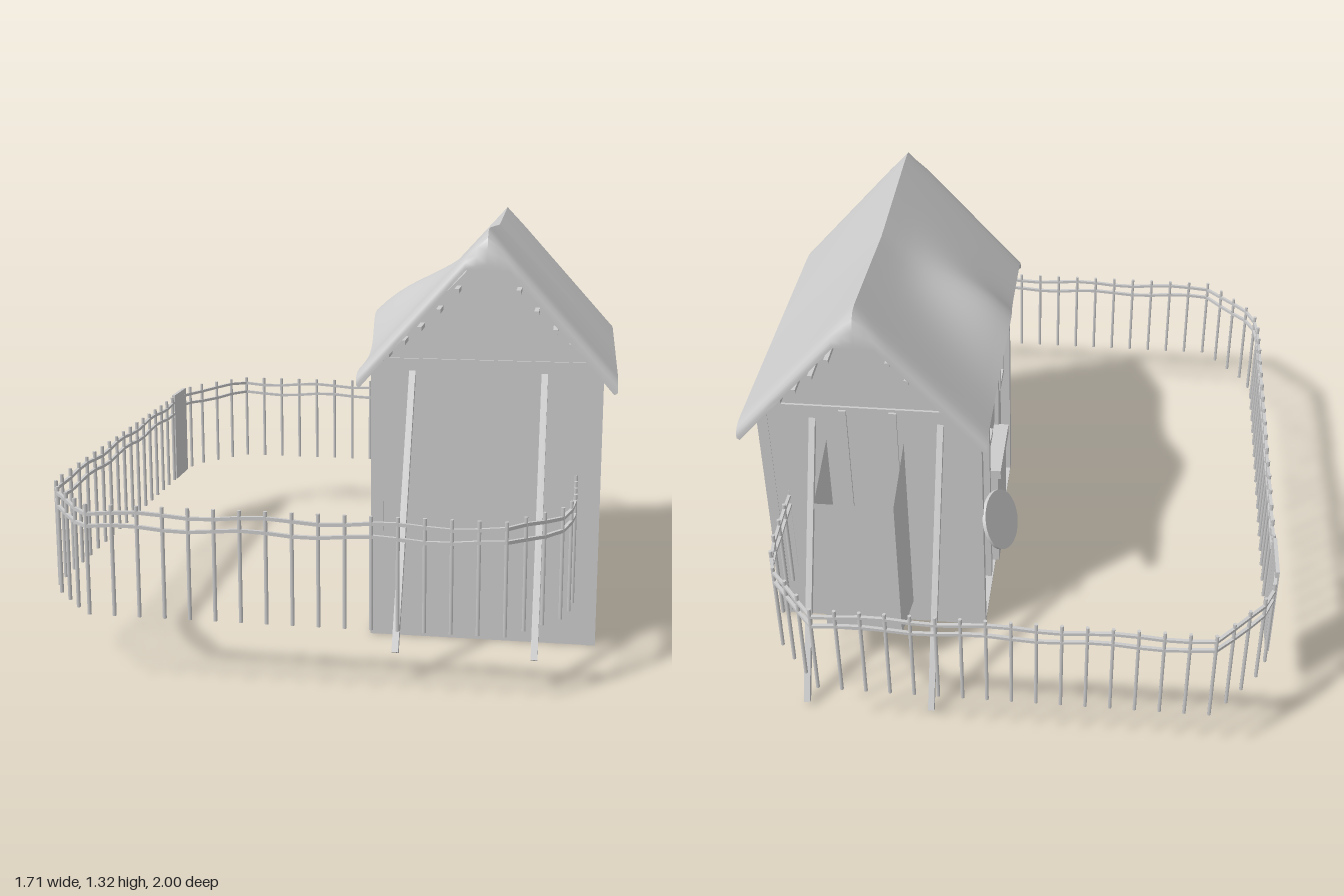
import * as THREE from 'three';
import { toCreasedNormals } from 'three/addons/utils/BufferGeometryUtils.js';

const mat = new THREE.MeshStandardMaterial({ color: 0xcccccc, side: THREE.DoubleSide });
const CX = 0.455; // ridge line of the hut

function add(parent, name, geometry) {
  const mesh = new THREE.Mesh(geometry, mat);
  mesh.name = name;
  parent.add(mesh);
  return mesh;
}

// Box given by its limits on each axis
function box(parent, name, [x0, x1], [y0, y1], [z0, z1]) {
  const mesh = add(parent, name, new THREE.BoxGeometry(x1 - x0, y1 - y0, z1 - z0));
  mesh.position.set((x0 + x1) / 2, (y0 + y1) / 2, (z0 + z1) / 2);
  return mesh;
}

// Square bar between two points
function beam(parent, name, a, b, w) {
  const mesh = add(parent, name, new THREE.BoxGeometry(w, w, a.distanceTo(b)));
  mesh.position.copy(a).lerp(b, 0.5);
  mesh.lookAt(b);
  return mesh;
}

const v = (x, y, z) => new THREE.Vector3(x, y, z);

// Sagging roof with soft ends and a raised eave over the door
function roofGeometry() {
  const zs = [-0.555, -0.552, -0.54, -0.52, -0.49];
  for (let i = 1; i < 24; i++) zs.push(-0.49 + (i / 24) * 0.99);
  zs.push(0.5, 0.53, 0.55, 0.562, 0.565);
  const n = 24, pos = [], idx = [], ring = 2 * (n + 1);
  zs.forEach((z, i) => {
    const full = [0.15, 0.5, 0.8, 0.95][Math.min(i, zs.length - 1 - i)] ?? 1;
    const bump = Math.exp(-((z + 0.03) ** 2) / 0.034);
    const sag = 0.03 * Math.max(0, 1 - Math.abs(z + 0.03) / 0.5);
    const point = (s, outer) => {
      const d = Math.abs(s) * 0.395;
      const lift = s < 0 ? bump * 0.11 * THREE.MathUtils.smoothstep(-s, 0.15, 0.95) : 0;
      const low = Math.min(1.2, 1.2 - (d - 0.065) * 1.106);
      const top = 1.32 - d * 1.11 - sag * (1 - Math.abs(s));
      const y = outer ? low + (top - low) * full : low;
      const x = CX + s * (outer ? 0.395 : 0.385) - (s < 0 ? 0.022 * bump * s * s : 0);
      pos.push(x, y + lift, z);
    };
    for (let j = 0; j <= n; j++) point(-1 + (2 * j) / n, true);
    for (let j = n; j >= 0; j--) point(-1 + (2 * j) / n, false);
  });
  const at = (i, j) => i * ring + (j % ring);
  for (let i = 0; i < zs.length - 1; i++)
    for (let j = 0; j < ring; j++) {
      const a = at(i, j), b = at(i, j + 1), c = at(i + 1, j + 1), d = at(i + 1, j);
      idx.push(a, d, c, a, c, b);
    }
  // End caps
  const last = zs.length - 1;
  for (let j = 0; j < n; j++) {
    const q = (i) => [at(i, ring - 1 - j), at(i, ring - 2 - j), at(i, j + 1), at(i, j)];
    let [a, b, c, d] = q(last);
    idx.push(a, b, c, a, c, d);
    [a, b, c, d] = q(0);
    idx.push(a, c, b, a, d, c);
  }
  const g = new THREE.BufferGeometry();
  g.setAttribute('position', new THREE.Float32BufferAttribute(pos, 3));
  g.setIndex(idx);
  return toCreasedNormals(g, 0.9);
}

function windowFrame(parent, x, z) {
  const rect = (C, w, h) => {
    const p = new C();
    p.moveTo(-w, -h); p.lineTo(w, -h); p.lineTo(w, h); p.lineTo(-w, h); p.closePath();
    return p;
  };
  const shape = rect(THREE.Shape, 0.065, 0.072);
  shape.holes.push(rect(THREE.Path, 0.042, 0.05));
  const g = new THREE.ExtrudeGeometry(shape, { depth: 0.03, bevelEnabled: false });
  g.translate(0, 0, -0.015);
  const mesh = add(parent, 'windowFrame', g);
  mesh.rotation.y = Math.PI / 2;
  mesh.position.set(x, 0.648, z);
}

function buildHut() {
  const hut = new THREE.Group();
  hut.name = 'hut';
  box(hut, 'walls', [0.125, 0.78], [0, 0.91], [-0.455, 0.45]);
  box(hut, 'floor', [0.09, 0.81], [0, 0.006], [-0.455, 0.45]);

  // Gable block under the roof
  const gable = new THREE.Shape([[0.125, 0.91], [0.78, 0.91], [0.515, 1.195], [0.395, 1.195]]
    .map(([x, y]) => new THREE.Vector2(x, y)));
  const g = new THREE.ExtrudeGeometry(gable, { depth: 0.89, bevelEnabled: false });
  g.translate(0, 0, -0.447);
  add(hut, 'gable', g);

  // Wall posts and the beams above them
  for (const [x0, x1] of [[0.09, 0.13], [0.775, 0.81]]) {
    for (const z of [-0.44, 0.435]) box(hut, 'cornerPost', [x0, x1], [0, 0.91], [z - 0.017, z + 0.017]);
    box(hut, 'wallPlate', [x0, x1], [0.875, 0.91], [-0.455, 0.45]);
  }
  box(hut, 'middlePost', [0.775, 0.81], [0, 0.9], [-0.02, 0.015]);
  for (const x of [0.37, 0.53]) box(hut, 'backPost', [x - 0.012, x + 0.012], [0, 0.9], [-0.463, -0.45]);
  windowFrame(hut, 0.795, -0.22);
  windowFrame(hut, 0.11, 0.21);

  // Two-part door with a ledge
  for (const z of [-0.2, 0.09]) box(hut, 'doorPost', [0.095, 0.13], [0, 0.9], [z - 0.015, z + 0.015]);
  box(hut, 'lowerDoor', [0.07, 0.11], [0.06, 0.45], [-0.185, 0.075]);
  box(hut, 'doorLedge', [0.06, 0.12], [0.44, 0.475], [-0.19, 0.08]);
  box(hut, 'upperDoor', [0.11, 0.13], [0.49, 0.85], [-0.185, 0.075]);
  for (const y of [0.55, 0.78]) box(hut, 'hinge', [0.1, 0.12], [y - 0.01, y + 0.01], [-0.18, -0.06]);

  // Leaning round lid beside the door
  const lid = add(hut, 'roundLid', toCreasedNormals(new THREE.CylinderGeometry(0.1, 0.1, 0.012, 32), 0.6));
  lid.position.set(0.04, 0.435, -0.395);
  lid.quaternion.setFromUnitVectors(v(0, 1, 0), v(-0.87, 0.38, -0.28).normalize());

  // Slanting props at both ends
  for (const x of [0.22, 0.63]) {
    beam(hut, 'frontProp', v(x, 0.9, 0.425), v(x, 0.09, 0.83), 0.02);
    beam(hut, 'backProp', v(x, 0.9, -0.425), v(x, 0.015, -0.872), 0.02);
  }

  // Open chute on the back wall
  const side = new THREE.Shape([[0.455, 0.09], [0.68, 0.16], [0.68, 0.7], [0.455, 0.78]]
    .map(([z, y]) => new THREE.Vector2(z, y)));
  for (const x of [0.34, 0.59]) {
    const cheek = add(hut, 'chuteSide', new THREE.ShapeGeometry(side));
    cheek.rotation.y = Math.PI / 2;
    cheek.position.x = x;
  }
  const face = add(hut, 'chuteFace', new THREE.PlaneGeometry(0.25, 0.54));
  face.rotation.y = Math.PI;
  face.position.set(0.465, 0.43, -0.68);

  // Roof and its battens
  add(hut, 'roof', roofGeometry());
  for (const s of [-1, 1])
    for (const [d, y] of [[0.305, 0.93], [0.255, 0.972], [0.205, 1.015], [0.148, 1.07], [0.093, 1.132]])
      box(hut, 'batten', [CX + s * d - 0.007, CX + s * d + 0.007], [y - 0.007, y + 0.007], [-0.53, 0.53]);
  return hut;
}

function buildFence() {
  const fence = new THREE.Group();
  fence.name = 'fence';
  const half = [[0.735, 0.45], [0.735, 0.72], [0.705, 0.82], [0.55, 0.995], [-0.67, 0.995], [-0.83, 0.8], [-0.85, 0.72]];
  const corners = [...half, ...half.map(([x, z]) => [x, -z]).reverse()];
  const path = new THREE.CurvePath();
  for (let i = 1; i < corners.length; i++)
    path.add(new THREE.LineCurve3(v(corners[i - 1][0], 0, corners[i - 1][1]), v(corners[i][0], 0, corners[i][1])));
  const count = Math.round(path.getLength() / 0.076);
  const pts = Array.from({ length: count + 1 }, (_, i) => path.getPointAt(i / count));

  pts.forEach((p, i) => {
    const post = add(fence, 'picket', new THREE.CylinderGeometry(0.006, 0.006, 0.335, 6));
    post.position.set(p.x, 0.388, p.z);
    if (i === 0) return;
    // Slightly wavy rails
    for (const y of [0.49, 0.53]) {
      const wave = (k) => y + 0.006 * Math.sin(k * 1.3 + y * 20);
      beam(fence, 'rail', pts[i - 1].clone().setY(wave(i - 1)), p.clone().setY(wave(i)), 0.01);
    }
  });
  box(fence, 'gate', [-0.857, -0.845], [0.22, 0.56], [-0.71, -0.55]);
  return fence;
}

export function createModel() {
  const model = new THREE.Group();
  model.name = 'fencedHut';
  model.add(buildHut(), buildFence());
  return model;
}
